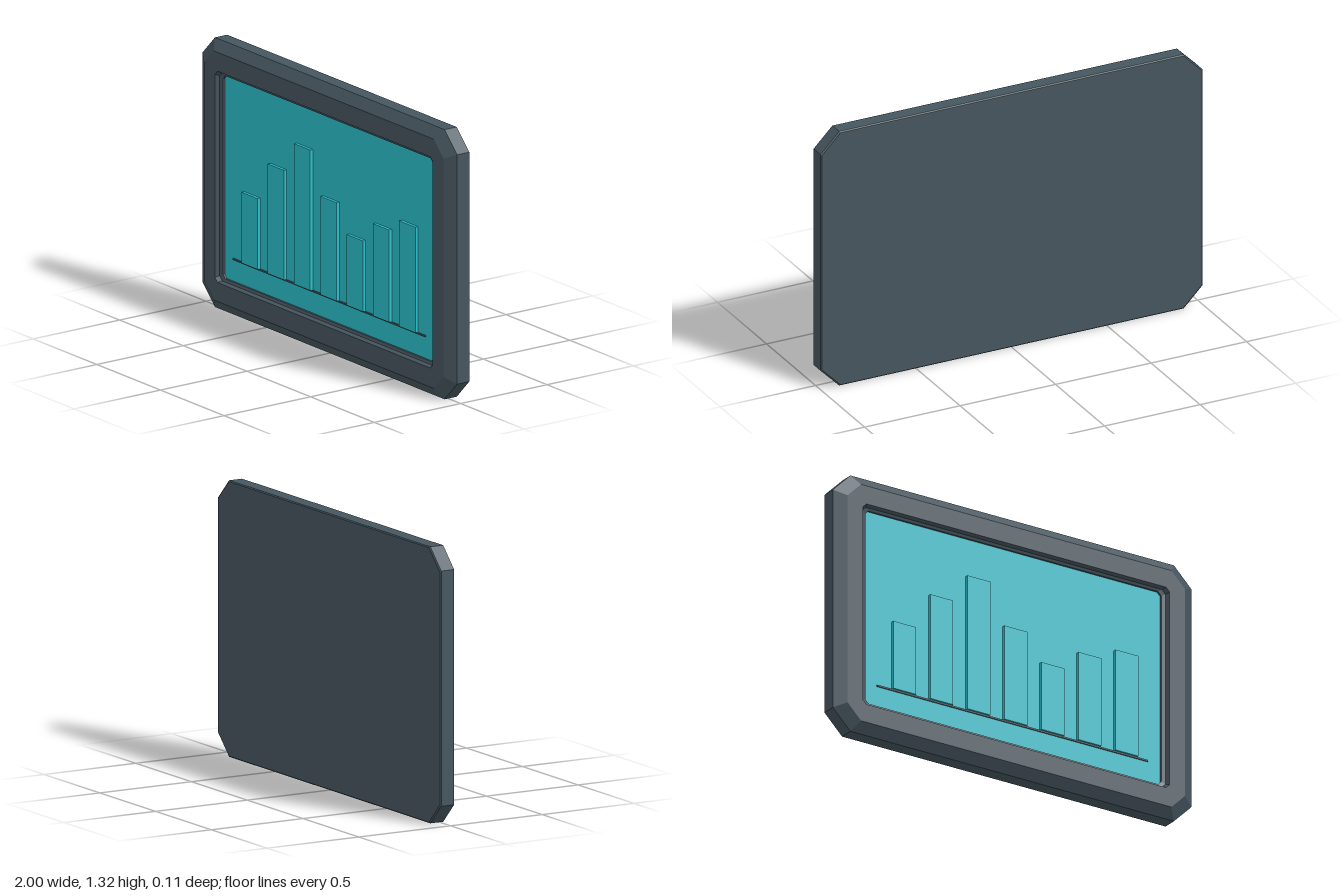
import * as THREE from 'three';

const CY = 0.6575; // height of the panel centre

// Rectangle with cut corners, counter-clockwise seen from the front
function octagon(hx, hy, cut, z) {
  return [
    [hx, -hy + cut], [hx, hy - cut], [hx - cut, hy], [-hx + cut, hy],
    [-hx, hy - cut], [-hx, -hy + cut], [-hx + cut, -hy], [hx - cut, -hy],
  ].map(([x, y]) => new THREE.Vector3(x, y + CY, z));
}

// Skin between successive loops, with an optional cap at the first and last one
function loft(loops, capStart, capEnd) {
  const points = [];
  const n = loops[0].length;
  for (let k = 0; k + 1 < loops.length; k++) {
    for (let i = 0; i < n; i++) {
      const j = (i + 1) % n;
      const [a, b, c, d] = [loops[k][i], loops[k][j], loops[k + 1][j], loops[k + 1][i]];
      points.push(a, b, c, a, c, d);
    }
  }
  const first = loops[0];
  const last = loops[loops.length - 1];
  for (let i = 1; i + 1 < n; i++) {
    if (capStart) points.push(first[0], first[i + 1], first[i]);
    if (capEnd) points.push(last[0], last[i], last[i + 1]);
  }
  const geometry = new THREE.BufferGeometry().setFromPoints(points);
  geometry.computeVertexNormals();
  return geometry;
}

export function createModel() {
  const model = new THREE.Group();
  model.name = 'chartTablet';

  const slate = new THREE.MeshStandardMaterial({ color: 0x46565f });
  slate.name = 'slate casing';
  const cyan = new THREE.MeshStandardMaterial({ color: 0x2cc0cd });
  cyan.name = 'cyan display';

  function add(name, geometry, material, parent = model) {
    const mesh = new THREE.Mesh(geometry, material);
    mesh.name = name;
    parent.add(mesh);
    return mesh;
  }

  // Casing: back, sides, front bevel, flat rim and stepped recess
  add('casing', loft([
    octagon(0.995, 0.6525, 0.098, -0.055),
    octagon(1, 0.6575, 0.098, -0.05),
    octagon(1, 0.6575, 0.098, 0.02),
    octagon(0.94, 0.6075, 0.075, 0.055),
    octagon(0.855, 0.515, 0.02, 0.055),
    octagon(0.845, 0.508, 0.02, 0.035),
    octagon(0.825, 0.495, 0.018, 0.03),
    octagon(0.825, 0.495, 0.018, 0.02),
  ], true, false), slate);

  // Display panel at the bottom of the recess
  add('screen', loft([
    octagon(0.825, 0.495, 0.018, 0.012),
    octagon(0.825, 0.495, 0.018, 0.02),
  ], false, true), cyan);

  // Bar chart standing proud of the display
  const chart = new THREE.Group();
  chart.name = 'barChart';
  model.add(chart);
  const base = 0.275;
  const tops = [0.62, 0.81, 0.96, 0.755, 0.62, 0.725, 0.79];
  tops.forEach((top, i) => {
    const bar = add(`bar${i + 1}`, new THREE.BoxGeometry(0.127, top - base, 0.02), cyan, chart);
    bar.position.set(-0.609 + i * 0.2065, (top + base) / 2, 0.026);
  });

  // Thin axis line below the bars
  const axis = add('chartAxis', new THREE.BoxGeometry(1.51, 0.008, 0.008), slate, chart);
  axis.position.set(0, 0.271, 0.022);

  return model;
}
